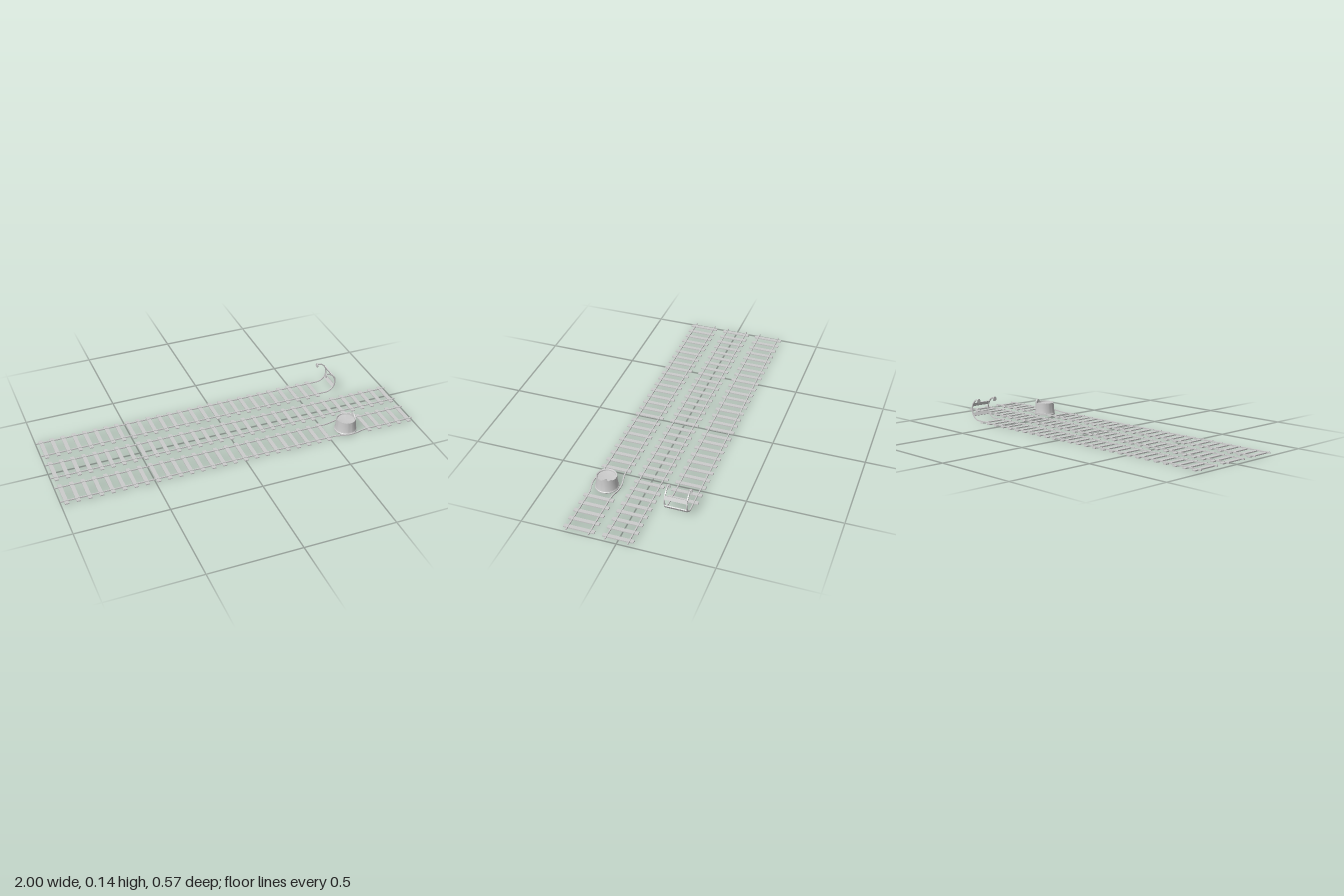
import * as THREE from 'three';
import { toCreasedNormals } from 'three/addons/utils/BufferGeometryUtils.js';

const material = new THREE.MeshStandardMaterial({ color: 0xcccccc });
const STEP = 0.0607, GAUGE = 0.058, RAIL_W = 0.006, RAIL_Y = 0.0152;

function add(parent, geometry, name, x = 0, y = 0, z = 0) {
  const mesh = new THREE.Mesh(geometry, material);
  mesh.name = name;
  mesh.position.set(x, y, z);
  parent.add(mesh);
  return mesh;
}

// Extruded strip of constant width that follows a flat path
function strip(points, width, depth) {
  const side = s => points.map((p, i) => {
    const a = points[Math.max(i - 1, 0)], b = points[Math.min(i + 1, points.length - 1)];
    const t = b.clone().sub(a).normalize();
    return new THREE.Vector2(p.x - t.y * s, p.y + t.x * s);
  });
  const outline = [...side(-width / 2), ...side(width / 2).reverse()];
  const geometry = new THREE.ExtrudeGeometry(new THREE.Shape(outline), { depth, bevelEnabled: false });
  geometry.translate(0, 0, -depth / 2);
  return toCreasedNormals(geometry, 0.6);
}

function addSleepers(track, keep) {
  const geometry = new THREE.BoxGeometry(0.021, 0.006, 0.162);
  for (let i = -16; i <= 16; i++) {
    if (keep(i)) add(track, geometry, 'sleeper', i * STEP, 0.0125, 0);
  }
}

function straightTrack() {
  const track = new THREE.Group();
  track.name = 'straightTrack';
  addSleepers(track, () => true);
  for (const s of [-1, 1]) {
    add(track, new THREE.BoxGeometry(2, 0.0066, RAIL_W), 'rail', 0, RAIL_Y, s * GAUGE);
  }
  return track;
}

// Track whose rails spread around a stump
function spreadTrack() {
  const track = new THREE.Group();
  track.name = 'spreadTrack';
  addSleepers(track, i => i < 9 || i > 11);
  for (const s of [-1, 1]) {
    const path = [new THREE.Vector2(-1, s * GAUGE)];
    for (let i = 0; i <= 16; i++) {
      const u = i / 16;
      const bulge = 0.017 * (0.5 - 0.5 * Math.cos(u * Math.PI * 2));
      path.push(new THREE.Vector2(0.51 + u * 0.215, s * (GAUGE + bulge)));
    }
    path.push(new THREE.Vector2(1, s * GAUGE));
    add(track, strip(path, RAIL_W, 0.0066).rotateX(Math.PI / 2), 'spreadRail', 0, RAIL_Y, 0);
  }
  const stump = add(track, stumpGeometry(), 'stump', 0.618, 0, 0);
  stump.material = material;
  return track;
}

// Flared stump with a splintered, hollow top
function stumpGeometry() {
  const profile = [
    [0, 0], [0.06, 0], [0.062, 0.002], [0.062, 0.007], [0.059, 0.01], [0.0575, 0.018],
    [0.0545, 0.045], [0.0535, 0.072], [0.048, 0.07], [0.047, 0.063], [0, 0.063],
  ].map(([r, y]) => new THREE.Vector2(r, y));
  const segments = 48, geometry = new THREE.LatheGeometry(profile, segments);
  const splinters = [[0, 0], [80, 0], [110, 0.021], [120, 0.003], [135, 0.008], [150, 0], [360, 0]];
  const rise = deg => {
    const k = splinters.findIndex(s => s[0] >= deg);
    if (k < 1) return 0;
    const [a, ya] = splinters[k - 1], [b, yb] = splinters[k];
    return ya + (yb - ya) * (deg - a) / (b - a);
  };
  const position = geometry.attributes.position;
  for (let i = 0; i <= segments; i++) {
    const jag = i % 2 ? -0.0015 : 0;
    for (const j of [7, 8]) {
      const v = i * profile.length + j;
      position.setY(v, position.getY(v) + rise(i * 360 / segments) + jag);
    }
  }
  return toCreasedNormals(geometry, 0.6);
}

// Track that ends in an upward curl
function curledTrack() {
  const track = new THREE.Group();
  track.name = 'curledTrack';
  addSleepers(track, i => i <= 10);
  const cx = 0.66, radius = 0.06, cy = RAIL_Y + radius;
  const path = [new THREE.Vector2(-1, RAIL_Y)];
  for (let i = 0; i <= 28; i++) {
    const a = -Math.PI / 2 + i / 28 * Math.PI * 1.02;
    path.push(new THREE.Vector2(cx + radius * Math.cos(a), cy + radius * Math.sin(a)));
  }
  const knob = new THREE.CylinderGeometry(0.0115, 0.0115, 0.006, 16).rotateZ(Math.PI / 2);
  knob.scale(1, 1.15, 1);
  for (const s of [-1, 1]) {
    add(track, strip(path, 0.0066, RAIL_W), 'curledRail', 0, 0, s * GAUGE);
    add(track, knob, 'railEndKnob', cx, 0.128, s * GAUGE);
  }
  // Short crossbars on the outside of the curl
  for (const deg of [25, -30]) {
    const a = THREE.MathUtils.degToRad(deg);
    const bar = add(track, new THREE.BoxGeometry(0.006, 0.02, 0.118), 'crossbar',
      cx + 0.0625 * Math.cos(a), cy + 0.0625 * Math.sin(a), 0);
    bar.rotation.z = a;
  }
  return track;
}

export function createModel() {
  const model = new THREE.Group();
  model.name = 'railwayTracks';
  const front = spreadTrack(), middle = straightTrack(), back = curledTrack();
  front.position.z = 0.203;
  back.position.z = -0.202;
  model.add(front, middle, back);
  return model;
}
